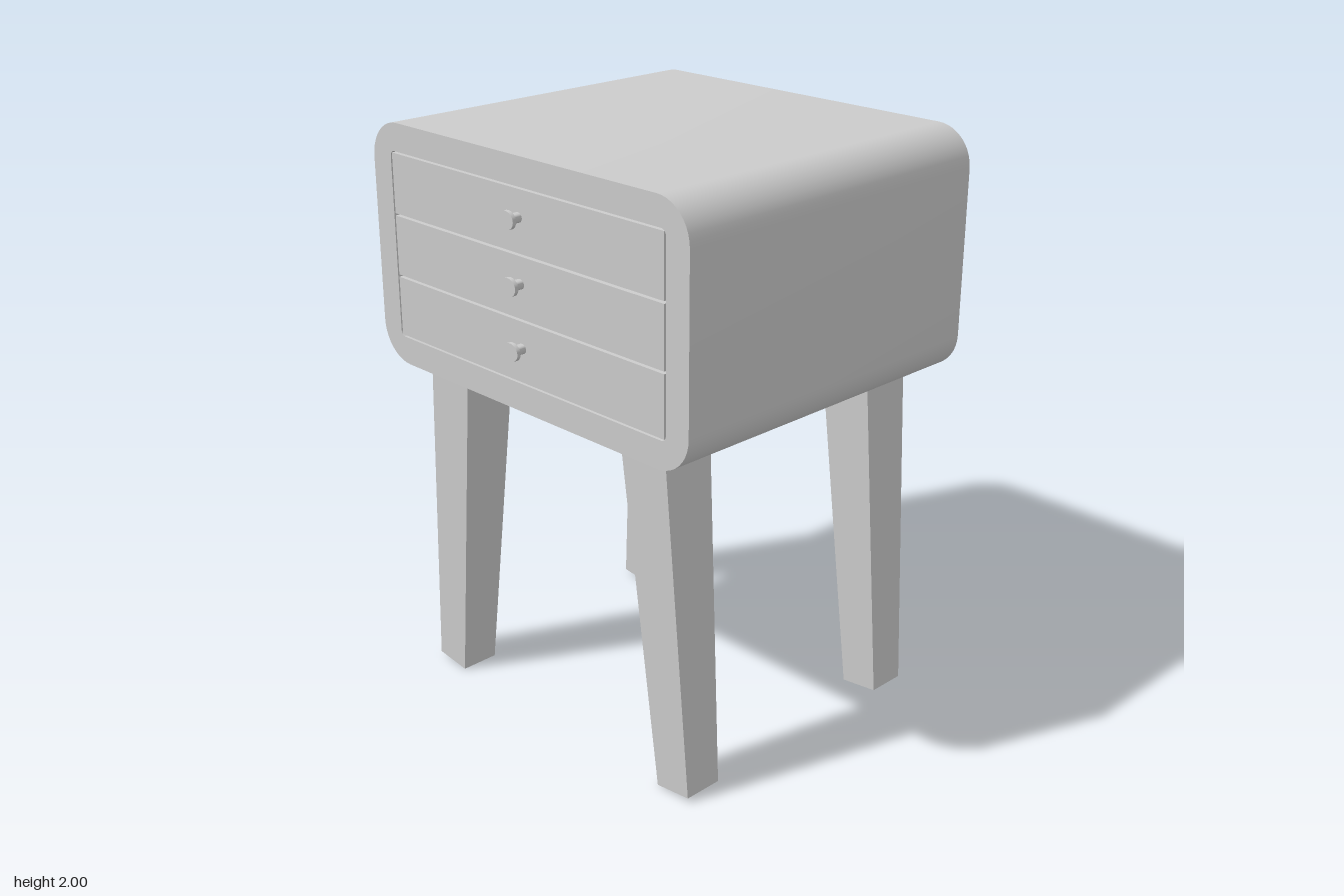
import * as THREE from 'three';
import { toCreasedNormals } from 'three/addons/utils/BufferGeometryUtils.js';

const material = new THREE.MeshStandardMaterial({ color: 0xcccccc });

const BACK = -0.65, FRONT = 0.605, MID_Y = 1.59;

function addMesh(parent, name, geometry, x = 0, y = 0, z = 0) {
  const mesh = new THREE.Mesh(geometry, material);
  mesh.name = name;
  mesh.position.set(x, y, z);
  parent.add(mesh);
  return mesh;
}

// Traces a rounded rectangle centred on the origin
function roundedRect(path, w, h, r) {
  const x = w / 2, y = h / 2;
  path.moveTo(x, -y + r);
  path.lineTo(x, y - r);
  path.absarc(x - r, y - r, r, 0, Math.PI / 2);
  path.lineTo(-x + r, y);
  path.absarc(-x + r, y - r, r, Math.PI / 2, Math.PI);
  path.lineTo(-x, -y + r);
  path.absarc(-x + r, -y + r, r, Math.PI, Math.PI * 1.5);
  path.lineTo(x - r, -y);
  path.absarc(x - r, -y + r, r, Math.PI * 1.5, Math.PI * 2);
  return path;
}

// Tapered, splayed square leg; the foot end is cut square to the leaning axis
function legGeometry(side) {
  const geometry = new THREE.BoxGeometry(1, 1, 1);
  const p = geometry.attributes.position;
  for (let i = 0; i < p.count; i++) {
    const top = p.getY(i) > 0, outer = p.getX(i) * side > 0;
    const x = top ? (outer ? 0.563 : 0.37) : (outer ? 0.64 : 0.503);
    const y = top ? 1.18 : (outer ? 0.016 : 0);
    p.setXYZ(i, x * side, y, p.getZ(i) * (top ? 0.19 : 0.138));
  }
  geometry.computeVertexNormals();
  return geometry;
}

export function createModel() {
  const model = new THREE.Group();
  model.name = 'bedsideCabinet';

  // Rounded casing, open at front and back
  const outline = roundedRect(new THREE.Shape(), 1.452, 0.82, 0.13);
  outline.holes.push(roundedRect(new THREE.Path(), 1.268, 0.632, 0.02));
  const casing = new THREE.ExtrudeGeometry(outline, {
    depth: FRONT - BACK, bevelEnabled: false, curveSegments: 5,
  });
  addMesh(model, 'casing', toCreasedNormals(casing, 0.6), 0, MID_Y, BACK);

  // Back panel, set in with a thin gap
  addMesh(model, 'backPanel', new THREE.BoxGeometry(1.254, 0.618, 0.04), 0, MID_Y, BACK + 0.02);

  // Knob profile: stem with a flared cap
  const profile = [[0.019, 0], [0.019, 0.033], [0.035, 0.035], [0.035, 0.048], [0, 0.048]];
  const knob = toCreasedNormals(
    new THREE.LatheGeometry(profile.map(([r, h]) => new THREE.Vector2(r, h)), 24), 0.6);
  knob.rotateX(Math.PI / 2);
  knob.scale(1, 0.85, 1);

  // Three flush drawers with knobs
  const depth = 1.2;
  for (let i = 0; i < 3; i++) {
    const drawer = new THREE.Group();
    drawer.name = `drawer${i + 1}`;
    drawer.position.set(0, MID_Y + (1 - i) * 0.209, FRONT);
    addMesh(drawer, 'drawerBox', new THREE.BoxGeometry(1.254, 0.201, depth), 0, 0, -depth / 2);
    addMesh(drawer, 'knob', knob, 0, 0.012, 0);
    model.add(drawer);
  }

  // Four legs
  for (const side of [1, -1]) {
    const leg = legGeometry(side);
    const hand = side > 0 ? 'Left' : 'Right';
    addMesh(model, `front${hand}Leg`, leg, 0, 0, 0.443);
    addMesh(model, `back${hand}Leg`, leg, 0, 0, -0.485);
  }

  return model;
}
